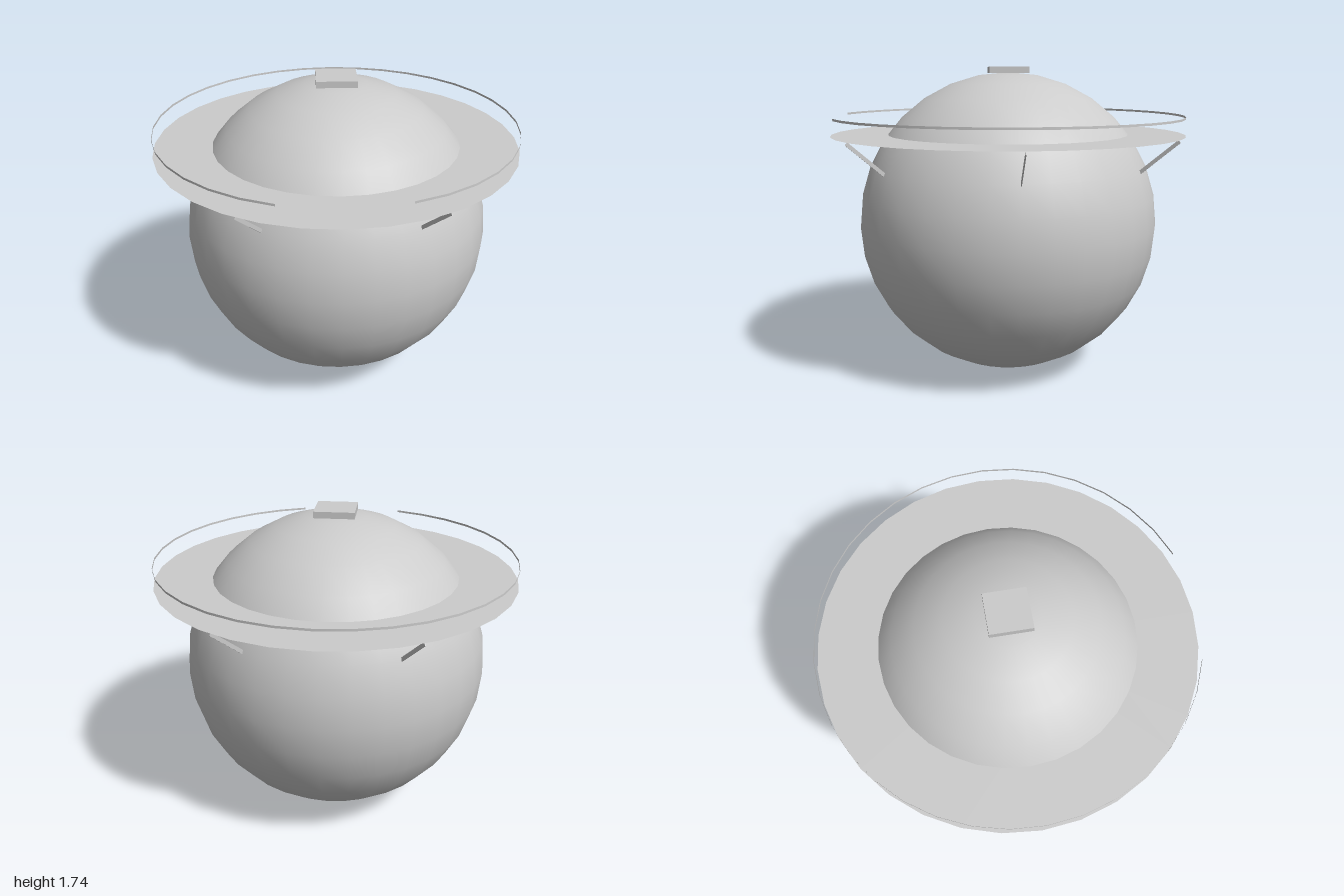
import * as THREE from 'three';

const BODY_RADIUS = 0.853;
const BRIM_Y = 1.36;

export function createModel() {
  const model = new THREE.Group();
  model.name = 'brimmedSphere';
  const solid = new THREE.MeshStandardMaterial({ color: 0xcccccc });
  const sheet = new THREE.MeshStandardMaterial({ color: 0xcccccc, side: THREE.DoubleSide });

  const add = (name, geometry, material, parent = model) => {
    const mesh = new THREE.Mesh(geometry, material);
    mesh.name = name;
    parent.add(mesh);
    return mesh;
  };

  // Round body
  add('body', new THREE.SphereGeometry(BODY_RADIUS, 32, 16), solid).position.y = BODY_RADIUS;

  // Flat square cap on the crown
  add('topCap', new THREE.BoxGeometry(0.22, 0.035, 0.22), solid).position.y = 1.718;

  // Flat paper-thin brim around the upper body
  const brim = add('brim', new THREE.RingGeometry(0.66, 1, 32, 1), sheet);
  brim.rotation.set(-Math.PI / 2, 0, 0);
  brim.position.y = BRIM_Y;

  // Thin upright rail band above the brim, open at the front
  const gap = Math.PI / 10;
  add('rail',
    new THREE.CylinderGeometry(0.995, 0.995, 0.012, 32, 1, true, gap, 2 * Math.PI - 2 * gap),
    sheet).position.y = 1.46;

  // Six thin blade struts, from the body out to the brim's edge
  const inner = new THREE.Vector2(0.75, 1.15);
  const outer = new THREE.Vector2(0.988, 1.352);
  const span = outer.clone().sub(inner);
  const blade = new THREE.BoxGeometry(span.length(), 0.02, 0.004);
  blade.rotateZ(span.angle());
  blade.translate((inner.x + outer.x) / 2, (inner.y + outer.y) / 2, 0);
  const struts = new THREE.Group();
  struts.name = 'struts';
  for (let i = 0; i < 6; i++) {
    add('strut', blade, solid, struts).rotation.y = (i * Math.PI) / 3;
  }
  model.add(struts);

  return model;
}
